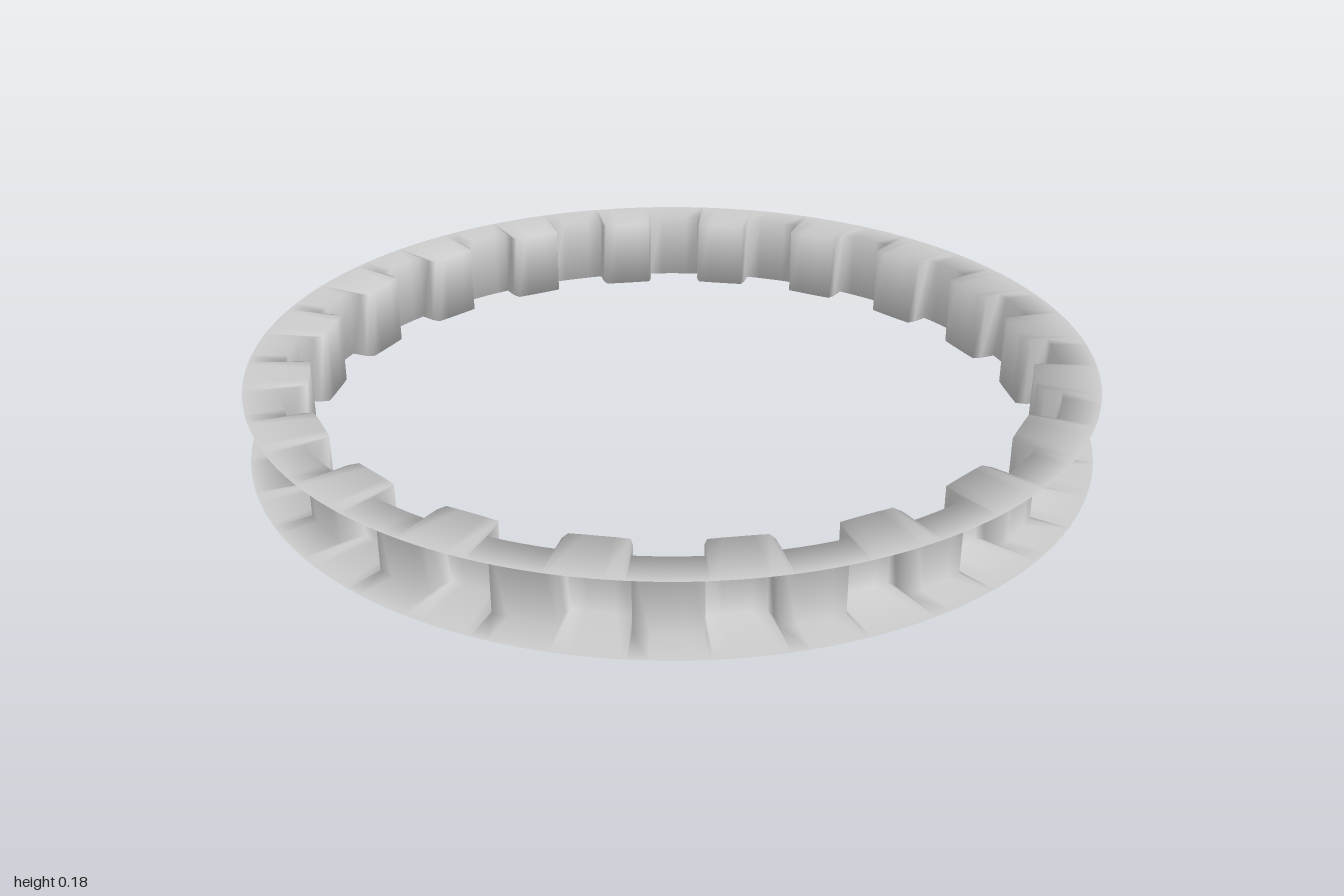
import * as THREE from 'three';

const TEETH = 20;
const HEIGHT = 0.176;
const OUTER = 1;
const ROOT = 0.914; // wall radius between teeth
const TIP = 0.852; // distance of the flat tooth face from the axis

// One tooth period: [angle from the tooth centre in degrees, wall radius]
const flat = (deg) => [deg, TIP / Math.cos(THREE.MathUtils.degToRad(deg))];
const side = [[4.1, TIP + 0.003], [4.55, 0.875], [4.6, ROOT], [6.8, ROOT]];
const period = [
  [-9, ROOT],
  ...side.map(([a, r]) => [-a, r]).reverse(),
  flat(-2), flat(0), flat(2),
  ...side,
];

// Thin sheet of C-shaped section: top flange, toothed wall, bottom flange
function toothedChannel() {
  const positions = [];
  const index = [];
  const columns = TEETH * period.length;
  for (let t = 0; t < TEETH; t++) {
    for (const [deg, wall] of period) {
      const a = THREE.MathUtils.degToRad((t + 0.5) * 360 / TEETH + deg);
      const section = [[OUTER, HEIGHT], [wall, HEIGHT], [wall, 0], [OUTER, 0]];
      for (const [r, y] of section) positions.push(r * Math.sin(a), y, r * Math.cos(a));
    }
  }
  for (let i = 0; i < columns; i++) {
    const next = (i + 1) % columns;
    for (let j = 0; j < 3; j++) {
      const a = i * 4 + j;
      const b = next * 4 + j;
      index.push(a, b, b + 1, a, b + 1, a + 1);
    }
  }
  const geometry = new THREE.BufferGeometry();
  geometry.setAttribute('position', new THREE.Float32BufferAttribute(positions, 3));
  geometry.setIndex(index);
  geometry.computeVertexNormals();
  return geometry;
}

export function createModel() {
  const group = new THREE.Group();
  group.name = 'toothedRing';
  const material = new THREE.MeshStandardMaterial({ color: 0xcccccc, side: THREE.DoubleSide });
  const ring = new THREE.Mesh(toothedChannel(), material);
  ring.name = 'toothedChannel';
  group.add(ring);
  return group;
}
